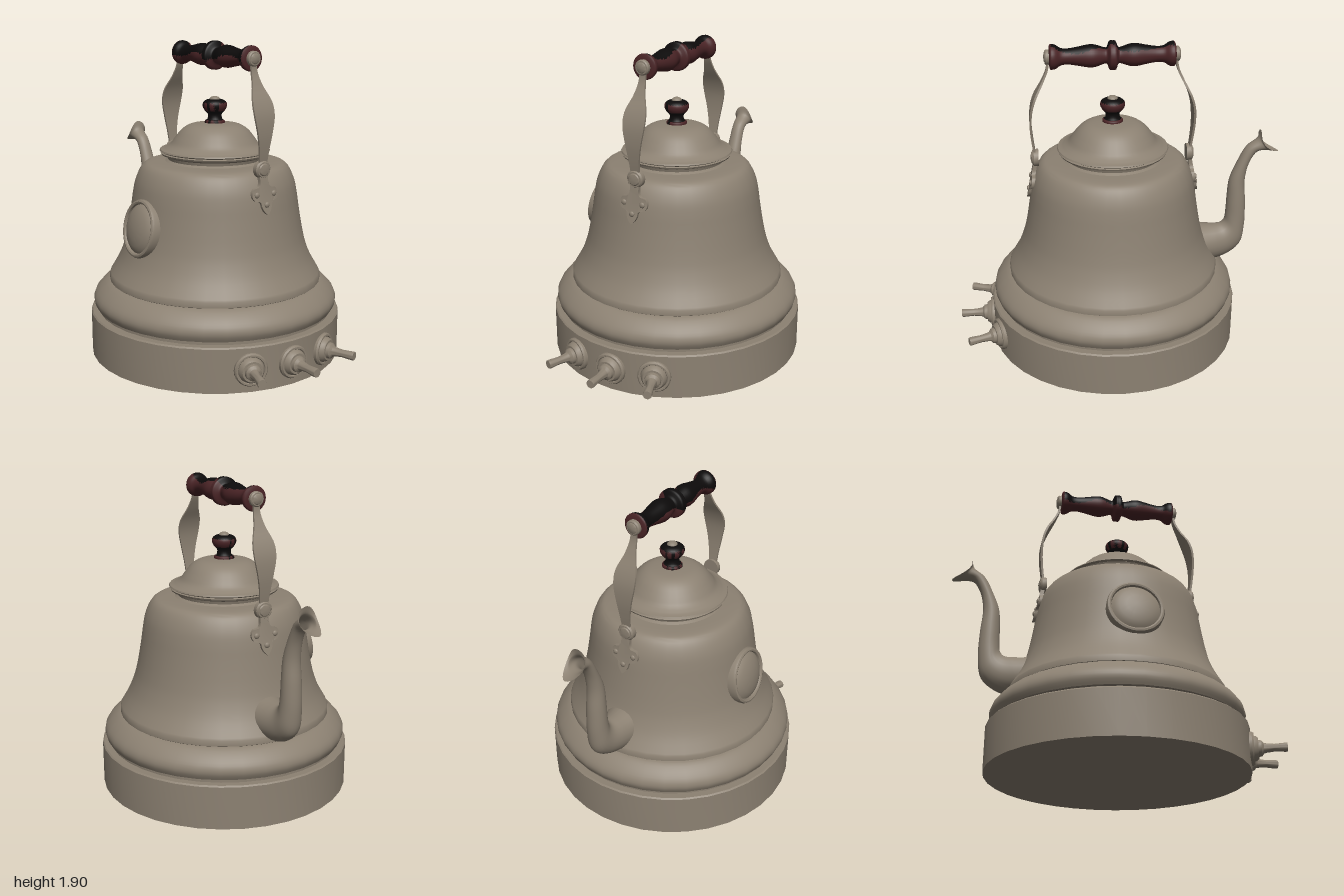
import * as THREE from 'three';
import { toCreasedNormals } from 'three/addons/utils/BufferGeometryUtils.js';

const SIDES = 36;
const AXIS_X = 0.025;

export function createModel() {
  const metal = new THREE.MeshStandardMaterial({ color: 0x8c8172, side: THREE.DoubleSide });
  metal.name = 'warm grey metal';
  const red = new THREE.MeshStandardMaterial({ color: 0x4a2426 });
  red.name = 'dark red wood';
  const black = new THREE.MeshStandardMaterial({ color: 0x0d0b0b });
  black.name = 'black wood';

  const model = new THREE.Group();
  model.name = 'kettle';
  const kettle = new THREE.Group();
  kettle.name = 'kettleOnAxis';
  kettle.position.x = AXIS_X;
  model.add(kettle);

  const add = (parent, name, geometry, material = metal) => {
    const mesh = new THREE.Mesh(geometry, material);
    mesh.name = name;
    parent.add(mesh);
    return mesh;
  };
  const vectors = (pts) => pts.map(([r, y]) => new THREE.Vector2(r, y));
  const smooth = (pts, n) => new THREE.SplineCurve(vectors(pts)).getPoints(n);
  const turned = (pts, sides = SIDES) => toCreasedNormals(new THREE.LatheGeometry(pts, sides), 0.6);

  // Sorts the faces of a geometry into red and black by a rule on their centres
  const twoTone = (geometry, isBlack) => {
    const p = geometry.attributes.position, index = geometry.index.array;
    const lists = [[], []], c = new THREE.Vector3(), v = new THREE.Vector3();
    for (let i = 0; i < index.length; i += 3) {
      c.set(0, 0, 0);
      for (let k = 0; k < 3; k++) c.addScaledVector(v.fromBufferAttribute(p, index[i + k]), 1 / 3);
      lists[isBlack(c) ? 1 : 0].push(index[i], index[i + 1], index[i + 2]);
    }
    geometry.setIndex([...lists[0], ...lists[1]]);
    geometry.addGroup(0, lists[0].length, 0);
    geometry.addGroup(lists[0].length, lists[1].length, 1);
    return geometry;
  };

  // Base drum, bead, bell body and lid
  add(kettle, 'base', turned(vectors([[0, 0], [0.77, 0], [0.77, 0.26], [0.762, 0.268], [0.7, 0.268]])));
  add(kettle, 'bead', turned([
    ...vectors([[0.7, 0.262], [0.722, 0.265], [0.722, 0.285]]),
    ...smooth([[0.735, 0.29], [0.752, 0.33], [0.745, 0.37], [0.715, 0.41], [0.68, 0.44], [0.658, 0.452]], 14),
    ...vectors([[0.64, 0.456]])]));
  add(kettle, 'body', turned([
    ...vectors([[0.64, 0.45], [0.652, 0.458], [0.652, 0.49]]),
    ...smooth([[0.645, 0.502], [0.595, 0.59], [0.56, 0.68], [0.54, 0.76], [0.525, 0.84], [0.512, 0.92],
      [0.5, 1.0], [0.485, 1.07], [0.46, 1.13], [0.43, 1.167], [0.39, 1.18], [0.3, 1.185]], 40)]));
  add(kettle, 'lid', turned([
    ...vectors([[0.31, 1.18], [0.285, 1.195], [0.29, 1.212], [0.325, 1.225], [0.33, 1.235], [0.322, 1.24],
      [0.336, 1.248], [0.332, 1.256]]),
    ...smooth([[0.31, 1.26], [0.27, 1.285], [0.24, 1.325], [0.2, 1.372], [0.15, 1.402], [0.08, 1.412], [0, 1.414]], 20)]));

  // Lid knob
  const knobProfile = smooth([[0.062, 1.41], [0.06, 1.425], [0.045, 1.435], [0.042, 1.465], [0.06, 1.485],
    [0.073, 1.51], [0.07, 1.535], [0.045, 1.552], [0.0, 1.555]], 26);
  add(kettle, 'knob', twoTone(new THREE.LatheGeometry(knobProfile, 24), (c) =>
    (c.y > 1.43 && c.y < 1.485) || c.y > 1.535 || Math.atan2(c.z, c.x) * 3 % 2 > 1), [red, black]);
  add(kettle, 'knobCap', new THREE.SphereGeometry(0.032, 16, 8).scale(1, 0.6, 1)).position.y = 1.553;

  // Turned grip of the handle
  const half = [[0.085, 0], [0.083, 0.018], [0.05, 0.032], [0.048, 0.05], [0.064, 0.1], [0.066, 0.14], [0.055, 0.2],
    [0.046, 0.26], [0.05, 0.3], [0.066, 0.325], [0.073, 0.345], [0.066, 0.365], [0, 0.37]];
  const gripPts = [...half.slice(1).reverse().map(([r, y]) => [r, -y]), ...half];
  const grip = new THREE.LatheGeometry(smooth(gripPts, 72).map((p) => p.setX(Math.max(p.x, 0))), 28).rotateZ(-Math.PI / 2);
  add(kettle, 'grip', twoTone(grip, (c) => {
    const fromTop = Math.atan2(c.z, c.y);
    const wave = 0.3 * Math.sin(c.x * 19 + 0.8);
    return fromTop < 1.65 + wave && fromTop > -0.75 + wave && Math.abs(c.x) < 0.355;
  }), [red, black]).position.y = 1.815;

  // Handle arm, hinge and riveted bracket, repeated on both sides
  const armPath = new THREE.CatmullRomCurve3([[0.378, 1.84, 0.022], [0.38, 1.75, 0.02], [0.412, 1.67, 0.034],
    [0.46, 1.575, 0.068], [0.482, 1.5, 0.069], [0.488, 1.4, 0.05], [0.48, 1.3, 0.033], [0.466, 1.2, 0.025]]
    .map((p) => new THREE.Vector3(...p)));
  const armGeometry = () => {
    const g = new THREE.BoxGeometry(0.013, 1, 2, 1, 32, 1), p = g.attributes.position;
    for (let i = 0; i < p.count; i++) {
      const a = armPath.getPoint(0.5 - p.getY(i));
      p.setXYZ(i, a.x + p.getX(i), a.y, p.getZ(i) * a.z);
    }
    return toCreasedNormals(g, 0.6);
  };
  const bracketX = (y, z) => 0.515 - 0.2 * (y - 0.94) - z * z;
  const bracketGeometry = () => {
    const s = new THREE.Shape();
    s.moveTo(-0.028, 1.21);
    s.lineTo(-0.028, 1.13);
    s.quadraticCurveTo(-0.03, 1.095, -0.055, 1.095);
    s.bezierCurveTo(-0.1, 1.1, -0.105, 1.02, -0.06, 1.02);
    s.quadraticCurveTo(-0.035, 1.02, -0.035, 0.99);
    s.quadraticCurveTo(-0.028, 0.96, 0, 0.94);
    s.quadraticCurveTo(0.028, 0.96, 0.035, 0.99);
    s.quadraticCurveTo(0.035, 1.02, 0.06, 1.02);
    s.bezierCurveTo(0.105, 1.02, 0.1, 1.1, 0.055, 1.095);
    s.quadraticCurveTo(0.03, 1.095, 0.028, 1.13);
    s.lineTo(0.028, 1.21);
    const g = new THREE.ExtrudeGeometry(s, { depth: 0.024, bevelEnabled: false, curveSegments: 6 }).rotateY(Math.PI / 2);
    const p = g.attributes.position;
    for (let i = 0; i < p.count; i++) p.setX(i, p.getX(i) - 0.012 + bracketX(p.getY(i), p.getZ(i)));
    return toCreasedNormals(g, 0.6);
  };
  const discProfile = (r, h) => vectors([[0, -h], [r, -h], [r, h * 0.5], [r * 0.85, h], [r * 0.7, h], [r * 0.6, h * 1.3], [0, h * 1.6]]);
  for (const [name, turn] of [['left', 0], ['right', Math.PI]]) {
    const side = new THREE.Group();
    side.name = name + 'HandleSide';
    side.rotation.y = turn;
    kettle.add(side);
    add(side, 'arm', armGeometry());
    add(side, 'bracket', bracketGeometry());
    for (const [part, x, y, r, h] of [['hinge', 0.467, 1.196, 0.052, 0.019], ['gripBolt', 0.38, 1.815, 0.044, 0.013]])
      add(side, part, turned(discProfile(r, h), 20).rotateZ(-Math.PI / 2)).position.set(x, y, 0);
    for (const [y, z] of [[1.057, 0.06], [1.057, -0.06], [0.998, 0]])
      add(side, 'rivet', new THREE.SphereGeometry(0.017, 12, 8).scale(0.6, 1, 1)).position.set(bracketX(y, z) + 0.012, y, z);
  }

  // Oval boss on the front
  const boss = add(kettle, 'frontBoss', turned(vectors([[0.163, -0.06], [0.167, 0.005], [0.162, 0.018], [0.152, 0.022],
    [0.143, 0.018], [0.139, 0.006], [0.125, 0.018], [0.1, 0.03], [0.06, 0.04], [0, 0.045]])));
  boss.position.set(0, 0.828, 0.535);
  boss.rotation.x = Math.PI / 2 - 0.19;
  boss.scale.z = 1.04;

  // Three control knobs fanned around the base
  const controlProfile = vectors([[0.097, 0.73], [0.097, 0.778], [0.09, 0.788], [0.08, 0.788], [0.076, 0.782], [0.07, 0.8],
    [0.06, 0.812], [0.048, 0.812], [0.045, 0.83], [0.03, 0.842], [0.026, 0.86], [0.022, 0.9], [0.026, 0.965], [0.024, 0.975], [0, 0.975]]);
  for (const angle of [-0.352, 0, 0.352]) {
    const control = new THREE.Group();
    control.name = 'control';
    control.position.y = 0.135;
    control.rotation.y = angle;
    kettle.add(control);
    add(control, 'controlKnob', turned(controlProfile, 24).rotateZ(-Math.PI / 2));
  }

  // Spout: each section gives its lower point, upper point and half width
  const sections = [[-0.5, 0.455, -0.5, 0.7, 0.13], [-0.62, 0.46, -0.61, 0.695, 0.1], [-0.72, 0.495, -0.66, 0.7, 0.08],
    [-0.79, 0.56, -0.683, 0.725, 0.07], [-0.812, 0.68, -0.69, 0.78, 0.063], [-0.81, 0.85, -0.693, 0.88, 0.058],
    [-0.8, 1.0, -0.703, 1.0, 0.05], [-0.825, 1.12, -0.745, 1.11, 0.043], [-0.87, 1.185, -0.8, 1.215, 0.042],
    [-0.925, 1.19, -0.868, 1.27, 0.05], [-1.0, 1.18, -0.885, 1.32, 0.06]];
  const lower = new THREE.CatmullRomCurve3(sections.map((s) => new THREE.Vector3(s[0], s[1], s[4])));
  const upper = new THREE.CatmullRomCurve3(sections.map((s) => new THREE.Vector3(s[2], s[3], s[4])));
  const rings = 50, around = 24, positions = [], faces = [];
  for (let i = 0; i <= rings; i++) {
    const a = lower.getPoint(i / rings), b = upper.getPoint(i / rings);
    const notch = Math.max(0, i / rings - 0.9) * 10;
    for (let j = 0; j < around; j++) {
      const t = (j / around) * Math.PI * 2, c = Math.cos(t), s = Math.sin(t), pull = notch * s * s;
      positions.push((a.x + b.x) / 2 + c * (b.x - a.x) / 2 + 0.04 * pull,
        (a.y + b.y) / 2 + c * (b.y - a.y) / 2 - 0.012 * pull, s * a.z);
      if (i === rings) continue;
      const k = (j + 1) % around, p = i * around + j, q = i * around + k;
      faces.push(p, p + around, q, q, p + around, q + around);
    }
  }
  const spout = new THREE.BufferGeometry();
  spout.setAttribute('position', new THREE.Float32BufferAttribute(positions, 3));
  // Reversed winding keeps the outside facing out
  for (let i = 0; i < faces.length; i += 3) [faces[i + 1], faces[i + 2]] = [faces[i + 2], faces[i + 1]];
  spout.setIndex(faces);
  spout.computeVertexNormals();
  add(model, 'spout', spout);
  return model;
}
